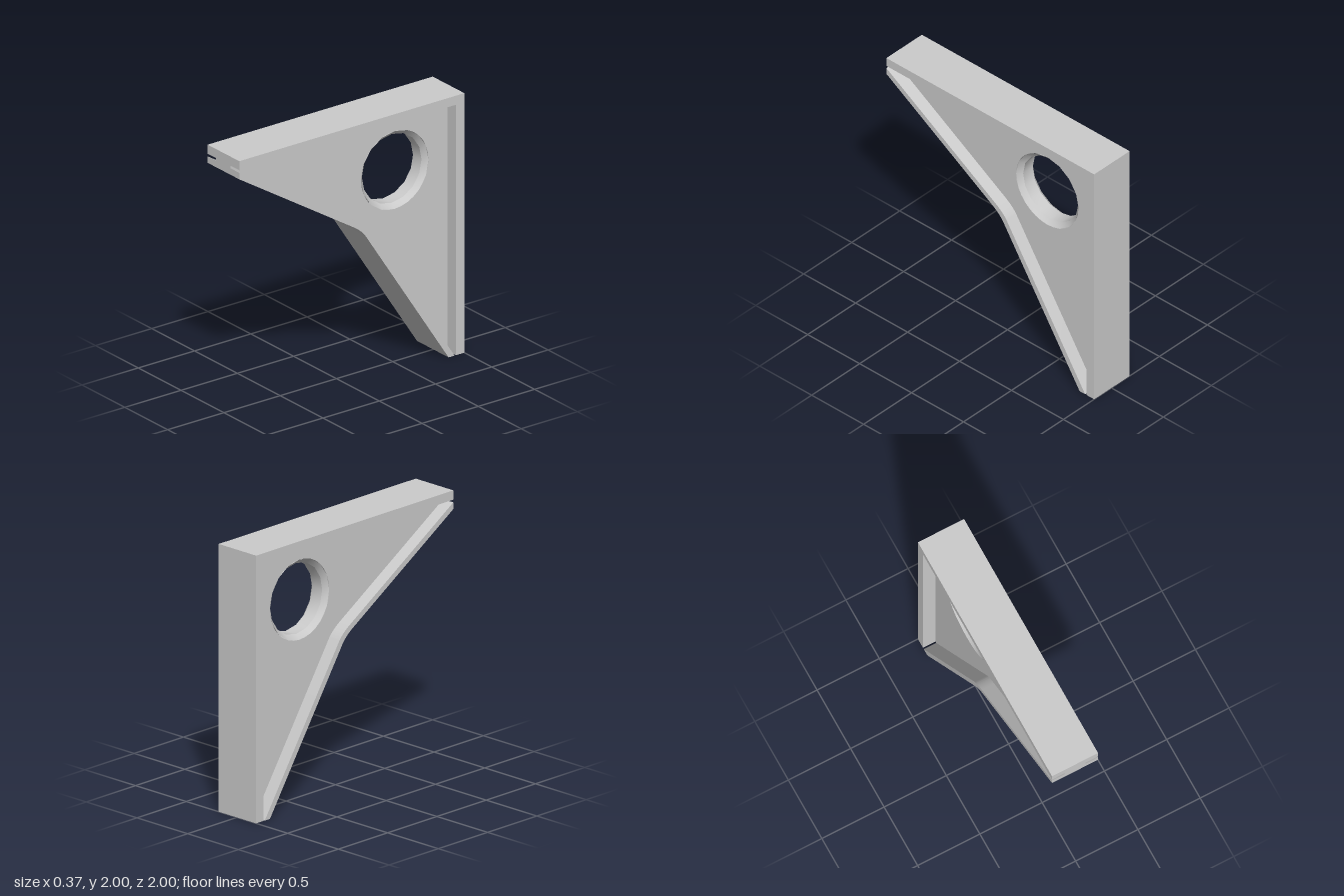
import * as THREE from 'three';
import { toCreasedNormals } from 'three/addons/utils/BufferGeometryUtils.js';

const X_MIN = -0.19, X_MAX = 0.18;      // full width of the flanges
const WEB_MIN = -0.09, WEB_MAX = 0.08;  // thickness of the web
const HOLE = { z: -0.457, y: 1.516, outer: 0.3, inner: 0.265, sides: 16 };

export function createModel() {
  const group = new THREE.Group();
  group.name = 'bracket';
  const material = new THREE.MeshStandardMaterial({ color: 0xcccccc });

  const add = (name, geometry, mat = material) => {
    const mesh = new THREE.Mesh(toCreasedNormals(geometry, 0.6), mat);
    mesh.name = name;
    group.add(mesh);
  };

  // Side profile in (z, y), extruded across x
  const extrudeAcross = (shape, x0, x1) => {
    const geometry = new THREE.ExtrudeGeometry(shape, {
      depth: x1 - x0, bevelEnabled: false, curveSegments: HOLE.sides,
    });
    return geometry.rotateY(-Math.PI / 2).translate(x1, 0, 0);
  };

  // L-shaped top and back flange
  const flange = new THREE.Shape([
    [1, 2], [-1, 2], [-1, 0], [-0.925, 0], [-0.925, 1.93], [1, 1.93],
  ].map(([z, y]) => new THREE.Vector2(z, y)));
  add('topAndBackFlange', extrudeAcross(flange, X_MIN, X_MAX));

  // Inner edge of the bent diagonal rib, from foot to tip
  const innerEdge = (path) => {
    path.lineTo(-0.16, 1.152);
    path.quadraticCurveTo(-0.126, 1.204, -0.045, 1.255);
    path.lineTo(1, 1.91);
  };

  // Diagonal rib with rounded bend
  const rib = new THREE.Shape();
  rib.moveTo(-0.913, 0);
  innerEdge(rib);
  rib.lineTo(1, 1.86);
  rib.lineTo(-0.02, 1.221);
  rib.quadraticCurveTo(-0.092, 1.176, -0.13, 1.117);
  rib.lineTo(-0.86, 0);
  rib.closePath();
  add('diagonalRib', extrudeAcross(rib, X_MIN, X_MAX));

  // Recessed web with a round hole
  const web = new THREE.Shape();
  web.moveTo(-0.925, 0);
  web.lineTo(-0.913, 0);
  innerEdge(web);
  web.lineTo(1, 1.93);
  web.lineTo(-0.925, 1.93);
  web.closePath();
  const hole = new THREE.Path();
  hole.absarc(HOLE.z, HOLE.y, HOLE.outer, 0, Math.PI * 2, true);
  web.holes.push(hole);
  add('web', extrudeAcross(web, WEB_MIN, WEB_MAX));

  // Chamfered lining of the hole
  const half = (WEB_MAX - WEB_MIN) / 2, chamfer = HOLE.outer - HOLE.inner;
  const lining = new THREE.LatheGeometry([
    new THREE.Vector2(HOLE.outer, half),
    new THREE.Vector2(HOLE.inner, half - chamfer),
    new THREE.Vector2(HOLE.inner, chamfer - half),
    new THREE.Vector2(HOLE.outer, -half),
  ], HOLE.sides);
  lining.rotateZ(-Math.PI / 2).translate((WEB_MIN + WEB_MAX) / 2, HOLE.y, HOLE.z);
  const liningMaterial = material.clone();
  liningMaterial.side = THREE.DoubleSide;
  add('holeLining', lining, liningMaterial);

  return group;
}
